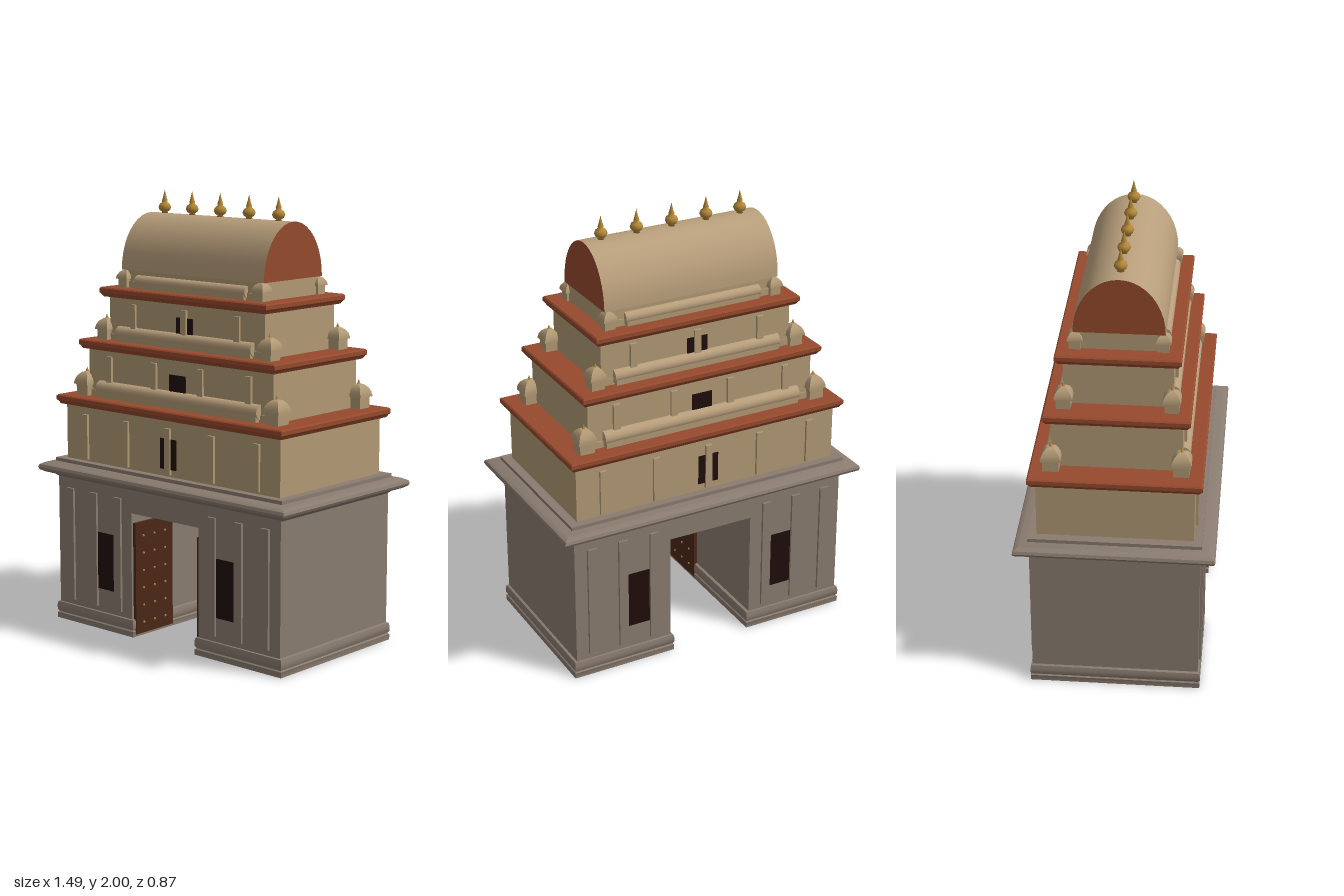
import * as THREE from 'three';
import { toCreasedNormals } from 'three/addons/utils/BufferGeometryUtils.js';

const mat = (name, color) => {
  const m = new THREE.MeshStandardMaterial({ color });
  m.name = name;
  return m;
};

export function createModel() {
  const model = new THREE.Group();
  model.name = 'templeGateTower';
  const granite = mat('granite', 0x8a7c70);
  const plaster = mat('plaster', 0xb29a75);
  const roofTan = mat('roofPlaster', 0xb89e7b);
  const terracotta = mat('terracotta', 0x964a2d);
  const dark = mat('darkOpening', 0x200d0d);
  const wood = mat('doorWood', 0x4c2817);
  const brass = mat('brass', 0xb48838);

  const add = (name, geo, material, x = 0, y = 0, z = 0, parent = model) => {
    const m = new THREE.Mesh(geo, material);
    m.name = name;
    m.position.set(x, y, z);
    parent.add(m);
    return m;
  };
  // box given by its ranges
  const box = (name, material, x0, x1, y0, y1, z0, z1) =>
    add(name, new THREE.BoxGeometry(x1 - x0, y1 - y0, z1 - z0), material,
      (x0 + x1) / 2, (y0 + y1) / 2, (z0 + z1) / 2);

  // stacked rectangles: profile of [outward offset, y], closed by caps
  const molding = (hx, hz, profile) => {
    const pos = [];
    const ring = ([o, y]) => [[-1, 1], [1, 1], [1, -1], [-1, -1]].map(
      ([sx, sz]) => [sx * Math.max(hx + o, 0), y, sz * Math.max(hz + o, 0)]);
    const quad = (a, b, c, d) => pos.push(...a, ...b, ...c, ...a, ...c, ...d);
    const rings = profile.map(ring);
    for (let i = 0; i < rings.length - 1; i++) {
      for (let k = 0; k < 4; k++) {
        const n = (k + 1) % 4;
        quad(rings[i][k], rings[i][n], rings[i + 1][n], rings[i + 1][k]);
      }
    }
    const b = rings[0], t = rings[rings.length - 1];
    quad(b[3], b[2], b[1], b[0]);
    quad(t[0], t[1], t[2], t[3]);
    const g = new THREE.BufferGeometry();
    g.setAttribute('position', new THREE.Float32BufferAttribute(pos, 3));
    g.computeVertexNormals();
    return toCreasedNormals(g, 0.6);
  };

  // stone piers with plinths, pilasters, niches and door leaves
  for (const s of [-1, 1]) {
    const span = (name, m, a, b, ...r) => box(name, m, Math.min(s * a, s * b), Math.max(s * a, s * b), ...r);
    span('pier', granite, 0.205, 0.675, 0.07, 0.69, -0.37, 0.37);
    const cx = s * 0.439;
    add('plinth', molding(0.242, 0.372, [[0.007, 0], [0.007, 0.025], [0.001, 0.03], [0.007, 0.04],
      [0.008, 0.06], [0.004, 0.078], [-0.006, 0.082]]), granite, cx);
    for (const f of [-1, 1]) {
      const z0 = f > 0 ? 0.365 : -0.381, z1 = f > 0 ? 0.381 : -0.365;
      for (const x of [0.288, 0.442, 0.593])
        span('gatePilaster', granite, x - 0.022, x + 0.022, 0.105, 0.635, z0, z1);
      const w0 = f > 0 ? 0.368 : -0.374, w1 = f > 0 ? 0.374 : -0.368;
      span('gateNiche', dark, 0.312, 0.418, 0.19, 0.455, w0, w1);
    }
    span('doorLeaf', wood, 0.188, 0.204, 0.01, 0.528, 0.12, 0.36);
    const stud = new THREE.SphereGeometry(0.006, 8, 6);
    for (let i = 0; i < 6; i++)
      for (const z of [0.17, 0.24, 0.31])
        add('doorStud', stud, brass, s * 0.188, 0.06 + i * 0.081, z);
  }
  box('lintel', granite, -0.21, 0.21, 0.575, 0.69, -0.37, 0.37);
  add('stoneCornice', molding(0.675, 0.365, [[0, 0.677], [0.015, 0.69], [0.045, 0.7], [0.065, 0.711], [0.071, 0.723],
    [0.066, 0.736], [0.045, 0.747], [0.012, 0.752], [0.012, 0.768], [0, 0.768]]), granite);

  // corner shrine with a square dome
  const shrine = (x, y, z, h) => {
    const g = new THREE.Group();
    g.name = 'cornerShrine';
    g.position.set(x, y, z);
    model.add(g);
    const k = h / 0.043;
    add('shrineBody', molding(h, h, [[-0.008, 0], [-0.008, 0.048 * k], [0, 0.05 * k], [0, 0.058 * k],
      [-0.004, 0.075 * k], [-0.013, 0.092 * k], [-0.026, 0.104 * k], [-h + 0.004, 0.109 * k]]), plaster, 0, 0, 0, g);
    add('shrineTip', new THREE.ConeGeometry(0.008 * k, 0.022 * k, 8), brass, 0, 0.118 * k, 0, g);
  };

  // three receding storeys
  const tiers = [
    { hx: 0.645, hz: 0.34, y0: 0.765, y1: 1.065, px: [-0.518, -0.259, 0, 0.259, 0.518], pTop: 0.985,
      win: [0.8, 0.937], kx: 0.573, kz: 0.278, kh: 0.043, sala: 0.485, sh: 0.075 },
    { hx: 0.555, hz: 0.28, y0: 1.06, y1: 1.325, px: [-0.42, -0.14, 0.14, 0.42], pTop: 1.255,
      win: [1.09, 1.213], kx: 0.49, kz: 0.229, kh: 0.039, sala: 0.407, sh: 0.068 },
    { hx: 0.465, hz: 0.233, y0: 1.32, y1: 1.566, px: [-0.312, 0, 0.312], pTop: 1.497,
      win: [1.355, 1.462], kx: 0.406, kz: 0.186, kh: 0.033, sala: 0.33, sh: 0.06 },
  ];
  for (const t of tiers) {
    box('storeyWall', plaster, -t.hx, t.hx, t.y0, t.y1 - 0.02, -t.hz, t.hz);
    const c = t.y1;
    add('storeyCornice', molding(t.hx, t.hz, [[0.003, c - 0.045], [0.02, c - 0.043], [0.028, c - 0.03], [0.034, c - 0.024],
      [0.034, c - 0.006], [0.028, c], [0, c]]), terracotta);
    for (const f of [-1, 1]) {
      for (const x of t.px)
        add('storeyPilaster', new THREE.BoxGeometry(0.032, t.pTop - t.y0 - 0.012, 0.024), plaster,
          x, (t.pTop + t.y0 + 0.012) / 2, f * t.hz);
      add('storeyWindow', new THREE.BoxGeometry(0.098, t.win[1] - t.win[0], 0.008), dark,
        0, (t.win[0] + t.win[1]) / 2, f * t.hz);
      // parapet: barrel-roofed miniature hall joined to the corner shrines
      const r = t.sh * 0.45;
      add('parapetHall', new THREE.BoxGeometry(t.sala * 2 - 0.01, t.sh - r, r * 1.8), plaster, 0, c + (t.sh - r) / 2, f * t.kz);
      add('parapetBarrel', new THREE.CylinderGeometry(r, r, t.sala * 2, 16).rotateZ(Math.PI / 2), roofTan,
        0, c + t.sh - r, f * t.kz);
      add('parapetRail', new THREE.BoxGeometry(t.kx * 2, 0.03, 0.016), plaster, 0, c + 0.015, f * t.kz);
      for (const s of [-1, 1]) shrine(s * t.kx, c, f * t.kz, t.kh);
    }
  }

  // barrel-vaulted crown
  box('crownNeck', plaster, -0.42, 0.42, 1.56, 1.648, -0.188, 0.188);
  const arch = new THREE.Shape();
  for (let i = 0; i <= 20; i++) {
    const a = (i / 20) * Math.PI;
    const p = [0.195 * Math.cos(a), 0.25 * Math.sin(a)];
    if (i) arch.lineTo(...p); else arch.moveTo(...p);
  }
  arch.closePath();
  const vault = toCreasedNormals(new THREE.ExtrudeGeometry(arch, { depth: 0.85, bevelEnabled: false })
    .translate(0, 0, -0.425).rotateY(Math.PI / 2), 0.5);
  // groups: gable ends first, then the curved surface
  add('vaultRoof', vault, [terracotta, roofTan], 0, 1.645, 0);

  // ridge finials
  const finial = new THREE.LatheGeometry([[0, 0], [0.016, 0], [0.012, 0.008], [0.023, 0.015], [0.029, 0.028],
    [0.024, 0.042], [0.012, 0.051], [0.013, 0.058], [0.007, 0.078], [0, 0.108]].map(p => new THREE.Vector2(...p)), 16);
  for (let i = -2; i <= 2; i++) add('ridgeFinial', finial, brass, i * 0.17, 1.892, 0);

  return model;
}
